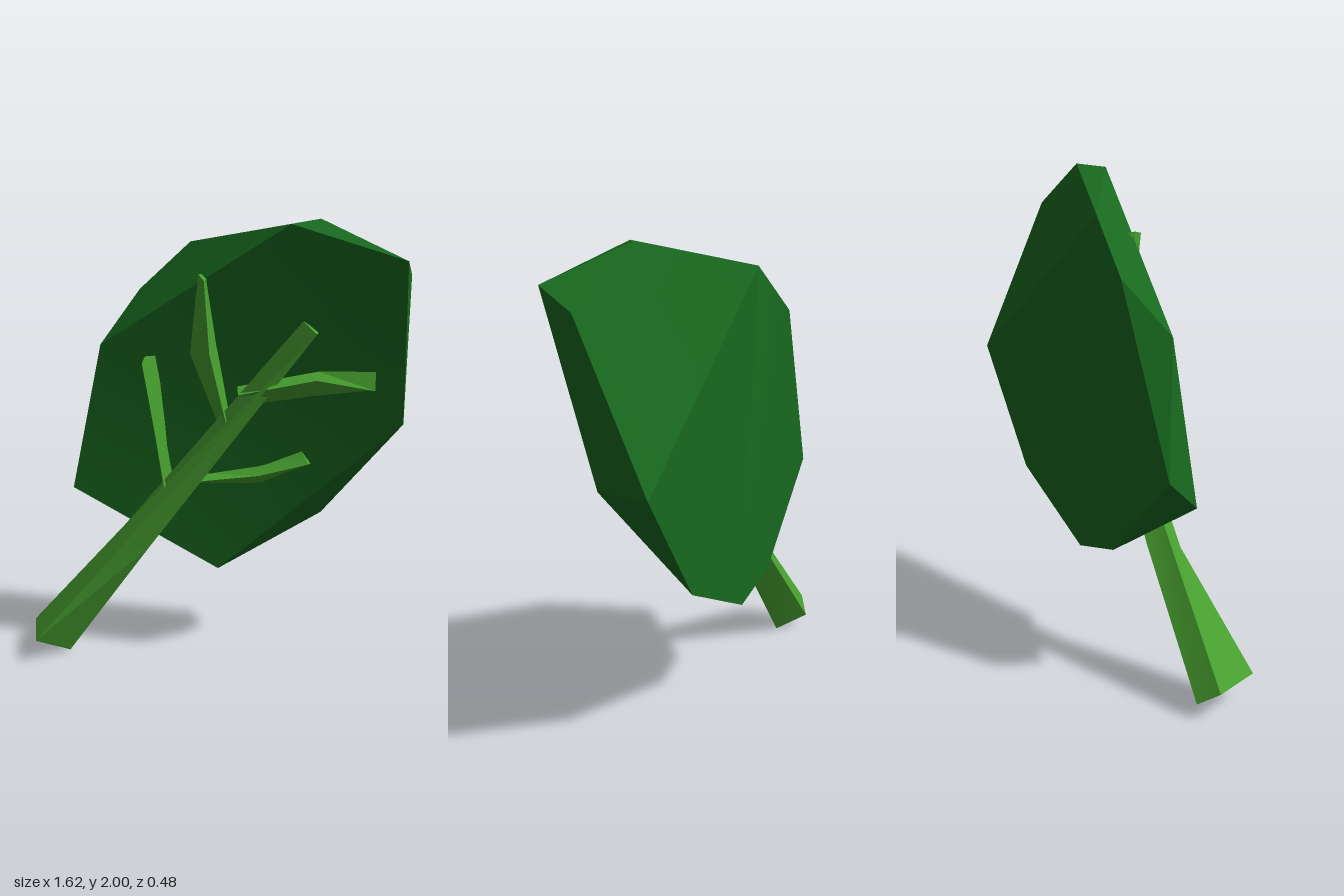
import * as THREE from 'three';
import { toCreasedNormals } from 'three/addons/utils/BufferGeometryUtils.js';

const leafGreen = new THREE.MeshStandardMaterial({ color: 0x18691f });
const stemGreen = new THREE.MeshStandardMaterial({ color: 0x479f2f });

// Turns a list of corner points, three per triangle, into a named mesh
function facetMesh(name, corners, material, crease) {
  const geometry = new THREE.BufferGeometry();
  geometry.setAttribute('position', new THREE.Float32BufferAttribute(corners.flat(), 3));
  const mesh = new THREE.Mesh(toCreasedNormals(geometry, crease), material);
  mesh.name = name;
  return mesh;
}

// Skins matching rings (right, back, left, ridge) and closes both ends
function limb(name, rings) {
  const corners = [];
  const n = rings[0].length;
  for (let i = 0; i < rings.length - 1; i++) {
    for (let j = 0; j < n; j++) {
      const k = (j + 1) % n;
      const [a, b] = [rings[i], rings[i + 1]];
      corners.push(a[j], a[k], b[k], a[j], b[k], b[j]);
    }
  }
  const base = rings[0];
  const tip = rings[rings.length - 1];
  for (let j = 1; j < n - 1; j++) {
    corners.push(base[0], base[j + 1], base[j], tip[0], tip[j], tip[j + 1]);
  }
  return facetMesh(name, corners, stemGreen, 0.4);
}

// Ring of a side vein: right and left edge, edge depth, ridge depth,
// and where the ridge lies between the right (0) and left (1) edge
function veinRing([rx, ry, lx, ly, edge, ridge, t]) {
  const between = (s, z) => [rx + (lx - rx) * s, ry + (ly - ry) * s, z];
  return [[rx, ry, edge], between(0.5, edge - 0.05), [lx, ly, edge], between(t, ridge)];
}

function createLeaf() {
  // Capitals: front rim; lower case: back rim
  const p = {
    A: [0.04, 0.45, -0.07], C: [0.8, 1.17, 0], F: [0.765, 1.88, 0.24],
    E: [0.33, 1.99, 0.13], D: [-0.46, 1.44, -0.11], L: [-0.595, 0.8, -0.09],
    a: [0.04, 0.45, -0.208], b: [0.48, 0.68, -0.208], c: [0.805, 1.17, -0.21],
    f: [0.79, 1.8, 0.09], e: [0.44, 2, 0.055], m: [-0.09, 1.86, -0.2],
    n: [-0.31, 1.65, -0.24], l: [-0.58, 0.92, -0.21], k: [-0.21, 0.52, -0.21],
  };
  const front = 'ACL LCD DCE CFE';
  const rim = 'Aab AbC Cbc Ccf CfF Ffe FeE Eem EmD Dmn Dnl DlL Llk LkA Aka';
  const back = 'nkl nak nma mba mcb mfc mef';
  const corners = [front, rim, back].join(' ').replaceAll(' ', '').split('').map((key) => p[key]);
  return facetMesh('leafBlade', corners, leafGreen, 0.45);
}

export function createModel() {
  const group = new THREE.Group();
  group.name = 'leaf';
  group.add(createLeaf());

  // Stalk flares at its foot and runs up the blade as the midrib
  group.add(limb('stem', [
    [[-0.64, 0, -0.07], [-0.735, 0.06, -0.185], [-0.81, 0.12, -0.13], [-0.76, 0.12, 0.075]],
    [[-0.26, 0.55, -0.04], [-0.33, 0.57, -0.13], [-0.37, 0.64, -0.07], [-0.39, 0.545, -0.005]],
    [[0.445, 1.555, 0.05], [0.41, 1.58, 0.03], [0.385, 1.61, 0.09], [0.44, 1.56, 0.1]],
  ]));

  // Side veins, each from the midrib outwards
  const veins = {
    upperLeftVein: [
      [0.09, 1.17, 0.04, 1.14, -0.03, 0.04, 0.2],
      [0.035, 1.46, -0.075, 1.43, -0.04, 0.05, 0.2],
      [0, 1.755, -0.035, 1.77, 0.02, 0.07, 0.2],
    ],
    lowerLeftVein: [
      [-0.135, 0.88, -0.2, 0.83, -0.08, -0.02, 0.8],
      [-0.175, 1.1, -0.235, 1.1, -0.09, -0.01, 0.8],
      [-0.225, 1.405, -0.27, 1.4, -0.08, 0.02, 0.9],
    ],
    lowerRightVein: [
      [-0.04, 0.855, -0.02, 0.9, -0.06, 0, 0.7],
      [0.23, 0.87, 0.21, 0.955, -0.05, 0, 0.6],
      [0.43, 0.975, 0.39, 1.03, -0.03, 0.015, 0.2],
    ],
    upperRightVein: [
      [0.19, 1.225, 0.12, 1.3, -0.03, 0.055, 0.85],
      [0.42, 1.28, 0.45, 1.385, 0.01, 0.07, 0.8],
      [0.675, 1.335, 0.675, 1.41, 0.075, 0.115, 0.1],
    ],
  };
  for (const [name, sections] of Object.entries(veins)) {
    group.add(limb(name, sections.map(veinRing)));
  }
  return group;
}
